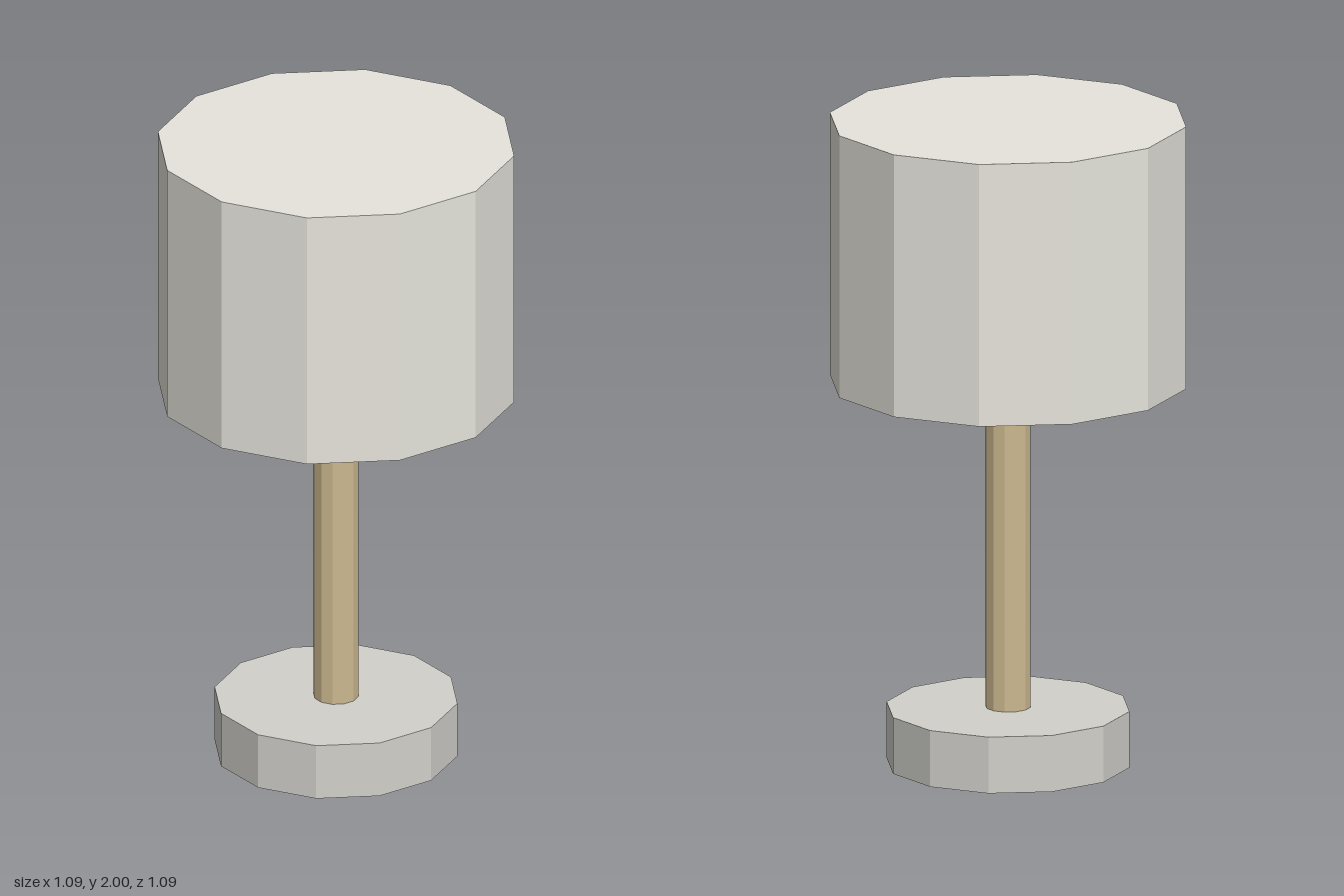
import * as THREE from 'three';

const SIDES = 12;

// Upright faceted cylinder spanning y0..y1
function drum(name, radius, y0, y1, color) {
  const mesh = new THREE.Mesh(
    new THREE.CylinderGeometry(radius, radius, y1 - y0, SIDES),
    new THREE.MeshStandardMaterial({ color, flatShading: true })
  );
  mesh.position.y = (y0 + y1) / 2;
  mesh.name = name;
  return mesh;
}

export function createModel() {
  const lamp = new THREE.Group();
  lamp.name = 'tableLamp';
  lamp.add(
    drum('base', 0.37, 0, 0.175, 0xd2d1cb),
    drum('pole', 0.068, 0.175, 1.185, 0xcdb98f),
    drum('shade', 0.543, 1.185, 2, 0xe6e4dc)
  );
  return lamp;
}
